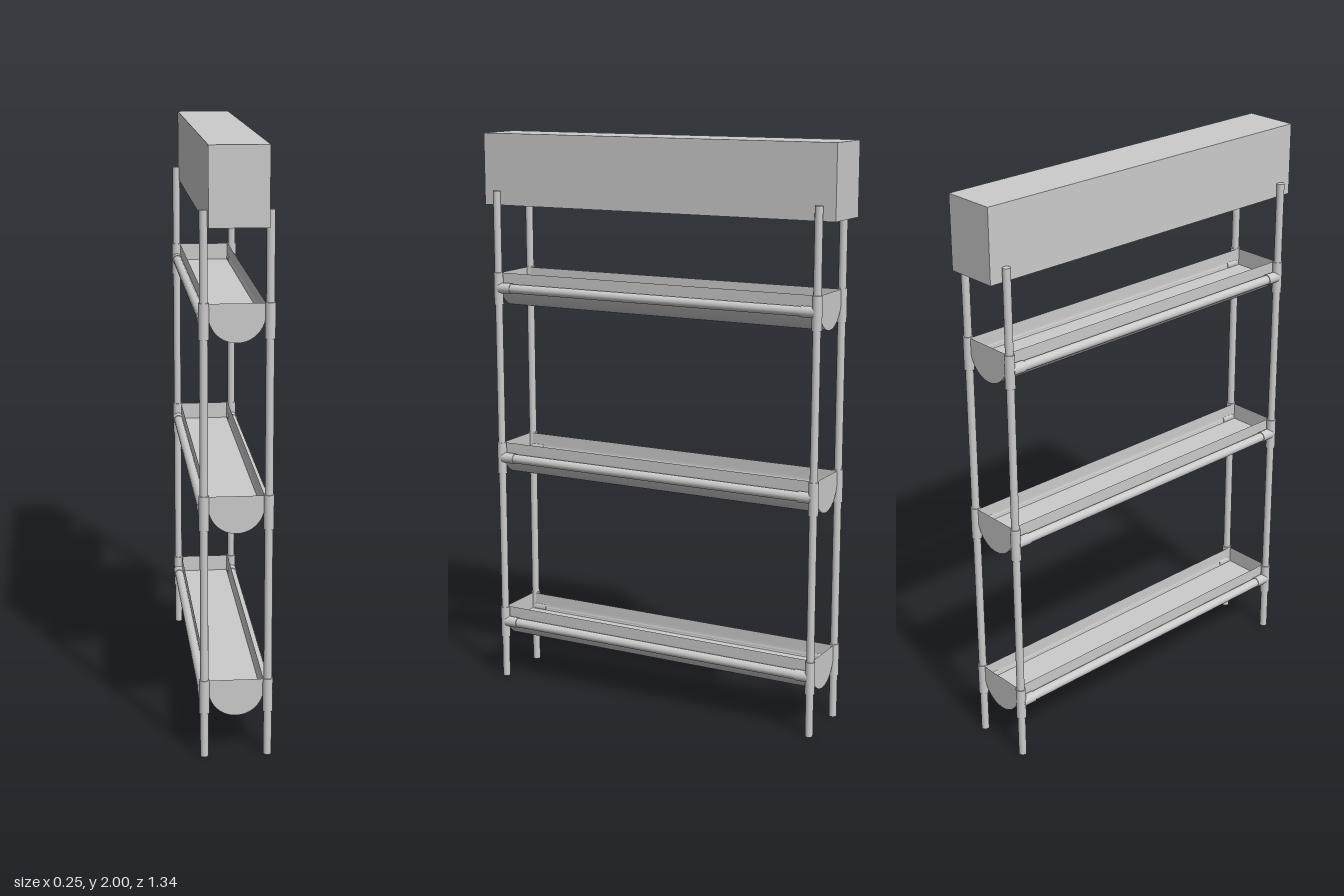
import * as THREE from 'three';

const TROUGH_RIMS = [0.265, 0.89, 1.51]; // heights of the trough rims
const POST_X = 0.104, POST_Z = 0.615, HALF_W = 0.09, STRAIGHT = 0.035;

export function createModel() {
  const model = new THREE.Group();
  const grey = new THREE.MeshStandardMaterial({ color: 0xcccccc });
  const thin = new THREE.MeshStandardMaterial({ color: 0xcccccc, side: THREE.DoubleSide });
  const rack = new THREE.Group();
  rack.name = 'rack';
  rack.position.x = 0.003;
  model.add(rack);

  function add(name, geometry, x, y, z, material = grey, parent = rack) {
    const mesh = new THREE.Mesh(geometry, material);
    mesh.name = name;
    mesh.position.set(x, y, z);
    parent.add(mesh);
    return mesh;
  }
  const pipe = (r, length) => new THREE.CylinderGeometry(r, r, length, 16);
  const pipeZ = (r, length) => pipe(r, length).rotateX(Math.PI / 2);

  // Top tank
  add('topTank', new THREE.BoxGeometry(0.188, 0.25, 1.34), 0.001, 1.875, 0);

  // U-shaped trough section: straight sides over a half circle
  const section = new THREE.Shape();
  section.moveTo(-HALF_W, 0);
  section.lineTo(-HALF_W, -STRAIGHT);
  section.absarc(0, -STRAIGHT, HALF_W, Math.PI, Math.PI * 2, false);
  section.lineTo(HALF_W, 0);
  const capGeometry = new THREE.ShapeGeometry(section, 24);

  // Open trough shell, swept along z
  const SEG = 32, LENGTH = 1.236;
  const shellGeometry = new THREE.PlaneGeometry(1, LENGTH, SEG + 2, 1);
  const p = shellGeometry.attributes.position;
  for (let i = 0; i < p.count; i++) {
    const k = i % (SEG + 3), z = p.getY(i);
    if (k === 0) p.setXYZ(i, -HALF_W, 0, z);
    else if (k === SEG + 2) p.setXYZ(i, HALF_W, 0, z);
    else {
      const a = Math.PI + Math.PI * (k - 1) / SEG;
      p.setXYZ(i, HALF_W * Math.cos(a), -STRAIGHT + HALF_W * Math.sin(a), z);
    }
  }
  shellGeometry.computeVertexNormals();

  // Posts
  for (const sx of [-1, 1]) for (const sz of [-1, 1]) {
    add('post', pipe(0.0135, 1.8), sx * POST_X, 0.9, sz * POST_Z);
  }

  for (const rim of TROUGH_RIMS) {
    const tier = new THREE.Group();
    tier.name = 'tier';
    tier.position.y = rim;
    rack.add(tier);

    // Trough with end caps and a flat filling
    add('troughShell', shellGeometry, 0, 0, 0, thin, tier);
    for (const sz of [-1, 1]) add('troughEnd', capGeometry, 0, 0, sz * LENGTH / 2, thin, tier);
    const filling = new THREE.PlaneGeometry(0.174, LENGTH).rotateX(-Math.PI / 2);
    add('troughFilling', filling, 0, -0.06, 0, thin, tier);

    // Side rails with tee fittings on the posts
    for (const sx of [-1, 1]) {
      add('sideRail', pipeZ(0.0165, 2 * POST_Z), sx * POST_X, -0.053, 0, grey, tier);
      for (const sz of [-1, 1]) {
        add('teeSleeve', pipe(0.017, 0.115), sx * POST_X, -0.055, sz * POST_Z, grey, tier);
        add('teeBranch', pipeZ(0.019, 0.05), sx * POST_X, -0.053, sz * 0.585, grey, tier);
      }
    }
  }
  return model;
}
